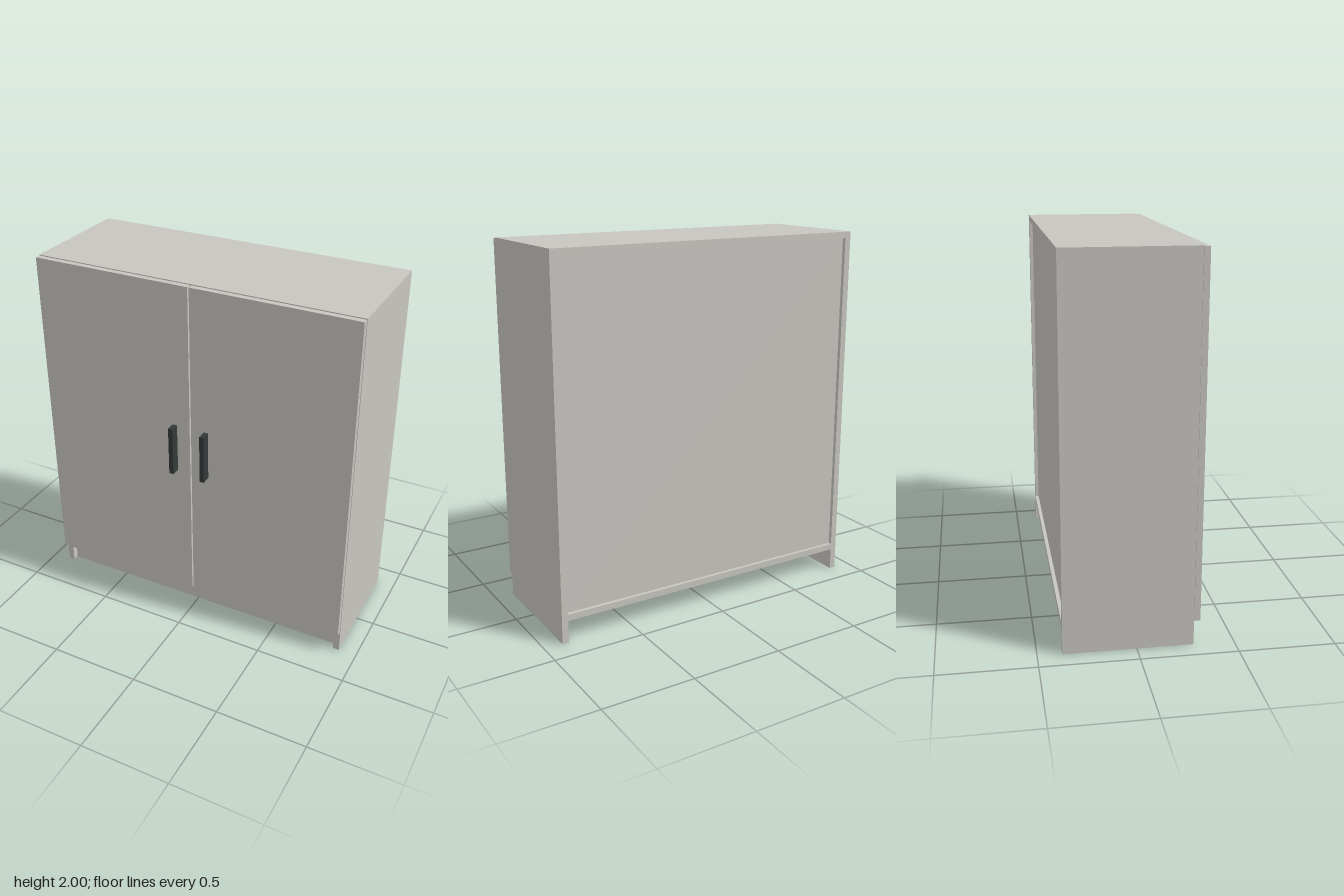
import * as THREE from 'three';

export function createModel() {
  const group = new THREE.Group();
  const board = new THREE.MeshStandardMaterial({ color: 0xc8c6c0 });
  board.name = 'warm grey board';
  const metal = new THREE.MeshStandardMaterial({ color: 0x343a3b });
  metal.name = 'dark handle';

  // Box given by its limits on each axis
  function panel(name, [x0, x1], [y0, y1], [z0, z1], material = board) {
    const mesh = new THREE.Mesh(new THREE.BoxGeometry(x1 - x0, y1 - y0, z1 - z0), material);
    mesh.position.set((x0 + x1) / 2, (y0 + y1) / 2, (z0 + z1) / 2);
    mesh.name = name;
    group.add(mesh);
  }

  const W = 0.9, T = 0.035, back = -0.375, front = 0.29, doorFront = 0.323;
  const inner = [-W + T, W - T];

  // Carcass
  panel('topPanel', inner, [2 - T, 2], [back, front]);
  panel('bottomPanel', inner, [0.122, 0.122 + T], [back, front]);
  panel('backPanel', inner, [0.122 + T, 2 - T], [back + 0.02, back + 0.03]);
  panel('plinth', inner, [0, 0.122], [0.22, 0.255]);

  // Sides, doors and handles, mirrored
  for (const [side, s] of [['left', 1], ['right', -1]]) {
    const span = (a, b) => (s > 0 ? [a, b] : [-b, -a]);
    panel(side + 'Side', span(W - T, W), [0, 2], [back, front]);
    panel(side + 'Door', span(0.004, W - 0.002), [0.13, 1.996], [front + 0.002, doorFront]);
    panel(side + 'Handle', span(0.08, 0.105), [0.925, 1.203], [doorFront, 0.375], metal);
  }
  return group;
}
